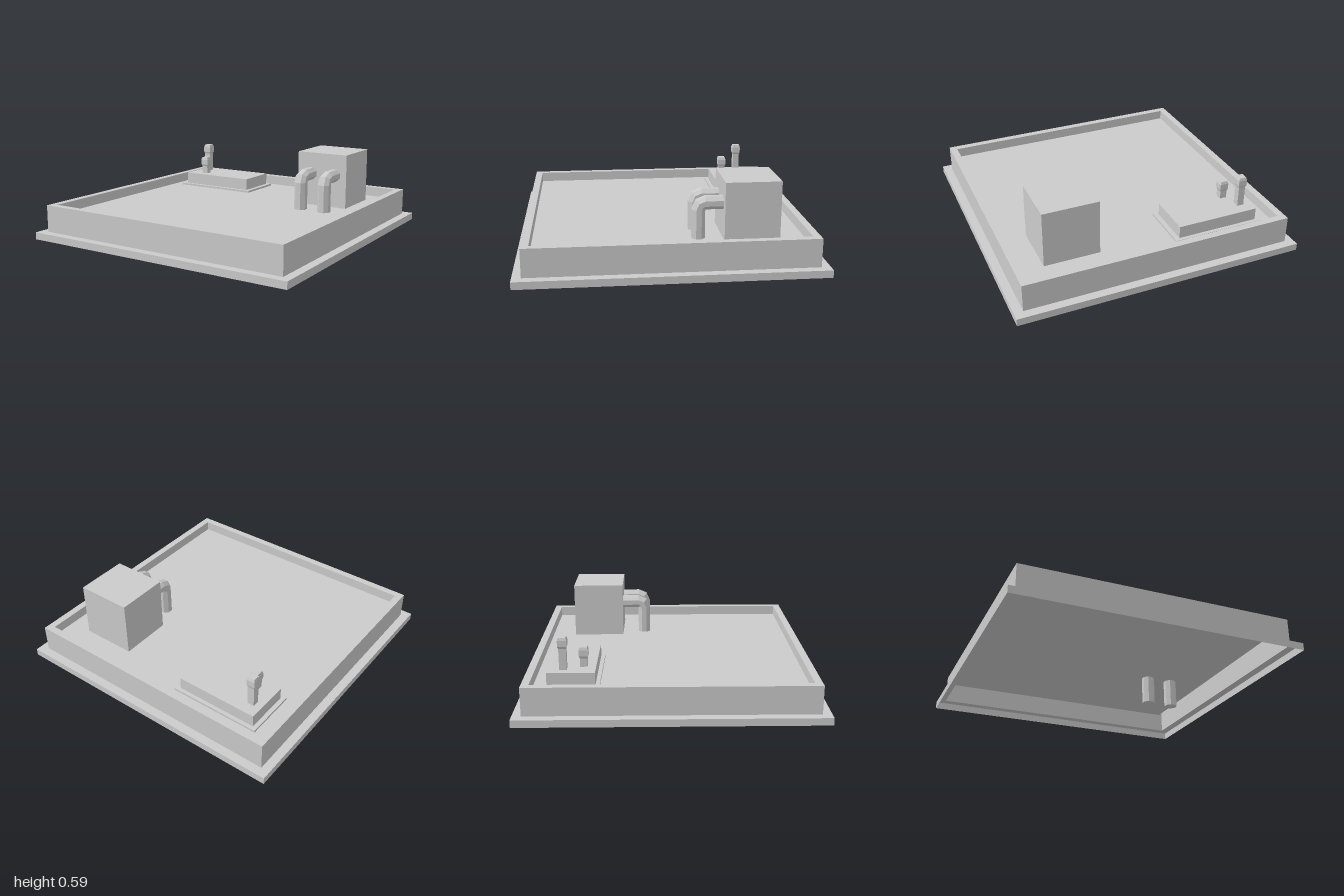
import * as THREE from 'three';

const material = new THREE.MeshStandardMaterial({ color: 0xcccccc, flatShading: true, side: THREE.DoubleSide });
const DECK = 0.2;

function add(parent, name, geometry, x = 0, y = 0, z = 0) {
  const mesh = new THREE.Mesh(geometry, material);
  mesh.name = name;
  mesh.position.set(x, y, z);
  parent.add(mesh);
  return mesh;
}

// Square solid from a profile of [half width, height] points
function squareLathe(profile) {
  const points = profile.map(([w, y]) => new THREE.Vector2(w * Math.SQRT2, y));
  return new THREE.LatheGeometry(points, 4).rotateY(Math.PI / 4).toNonIndexed();
}

// Box given by its extents in x, y and z
function block(parent, name, [x0, x1], [y0, y1], [z0, z1]) {
  return add(parent, name, new THREE.BoxGeometry(x1 - x0, y1 - y0, z1 - z0),
    (x0 + x1) / 2, (y0 + y1) / 2, (z0 + z1) / 2);
}

// Eight-sided pipe: rises, turns through a two-step elbow and runs backwards
function elbowPipe() {
  const r = 0.043, bendY = 0.395, bendZ = -0.235, endZ = -0.719;
  const stations = [
    { angle: 0, drop: bendY, run: 0 },
    { angle: 0, drop: 0, run: 0 },
    { angle: Math.PI / 4, drop: 0, run: 0 },
    { angle: Math.PI / 2, drop: 0, run: 0 },
    { angle: Math.PI / 2, drop: 0, run: bendZ - endZ },
  ];
  const radius = r / Math.cos(Math.PI / 8);
  const geometry = new THREE.CylinderGeometry(radius, radius, 4, 8, 4, false, Math.PI / 8);
  const pos = geometry.attributes.position;
  for (let i = 0; i < pos.count; i++) {
    const s = stations[Math.round(pos.getY(i) + 2)];
    const reach = r + pos.getZ(i);
    pos.setY(i, bendY + reach * Math.sin(s.angle) - s.drop);
    pos.setZ(i, bendZ + reach * Math.cos(s.angle) - s.run);
  }
  geometry.computeVertexNormals();
  return geometry;
}

// Square vent stack with a wider, tapered head
function ventStack(top) {
  const y = 0.3;
  return squareLathe([
    [0.024, y], [0.024, top - 0.075], [0.03, top - 0.06],
    [0.03, top - 0.02], [0.024, top], [0, top],
  ]);
}

export function createModel() {
  const model = new THREE.Group();
  model.name = 'rooftop';

  // Thin shell, open below: deck, parapet and ledge
  add(model, 'roofShell', squareLathe([
    [0, DECK], [0.89, DECK], [0.89, 0.27], [0.94, 0.27],
    [0.94, 0.08], [1, 0.08], [1, 0.03],
  ]));

  // Machine housing with two pipes through the deck
  block(model, 'machineHousing', [0.342, 0.727], [DECK + 0.002, 0.59], [-0.72, -0.353]);
  for (const x of [0.45, 0.635]) add(model, 'pipe', elbowPipe(), x);

  // Raised hatch on its base plate
  const hatch = new THREE.Group();
  hatch.name = 'hatch';
  model.add(hatch);
  block(hatch, 'hatchBase', [-0.803, -0.16], [DECK + 0.002, 0.217], [-0.823, -0.46]);
  block(hatch, 'hatchTop', [-0.773, -0.193], [0.21, 0.303], [-0.797, -0.487]);

  // Two vent stacks on the hatch
  add(model, 'tallVent', ventStack(0.52), -0.698, 0, -0.695);
  add(model, 'shortVent', ventStack(0.435), -0.637, 0, -0.567);

  return model;
}
